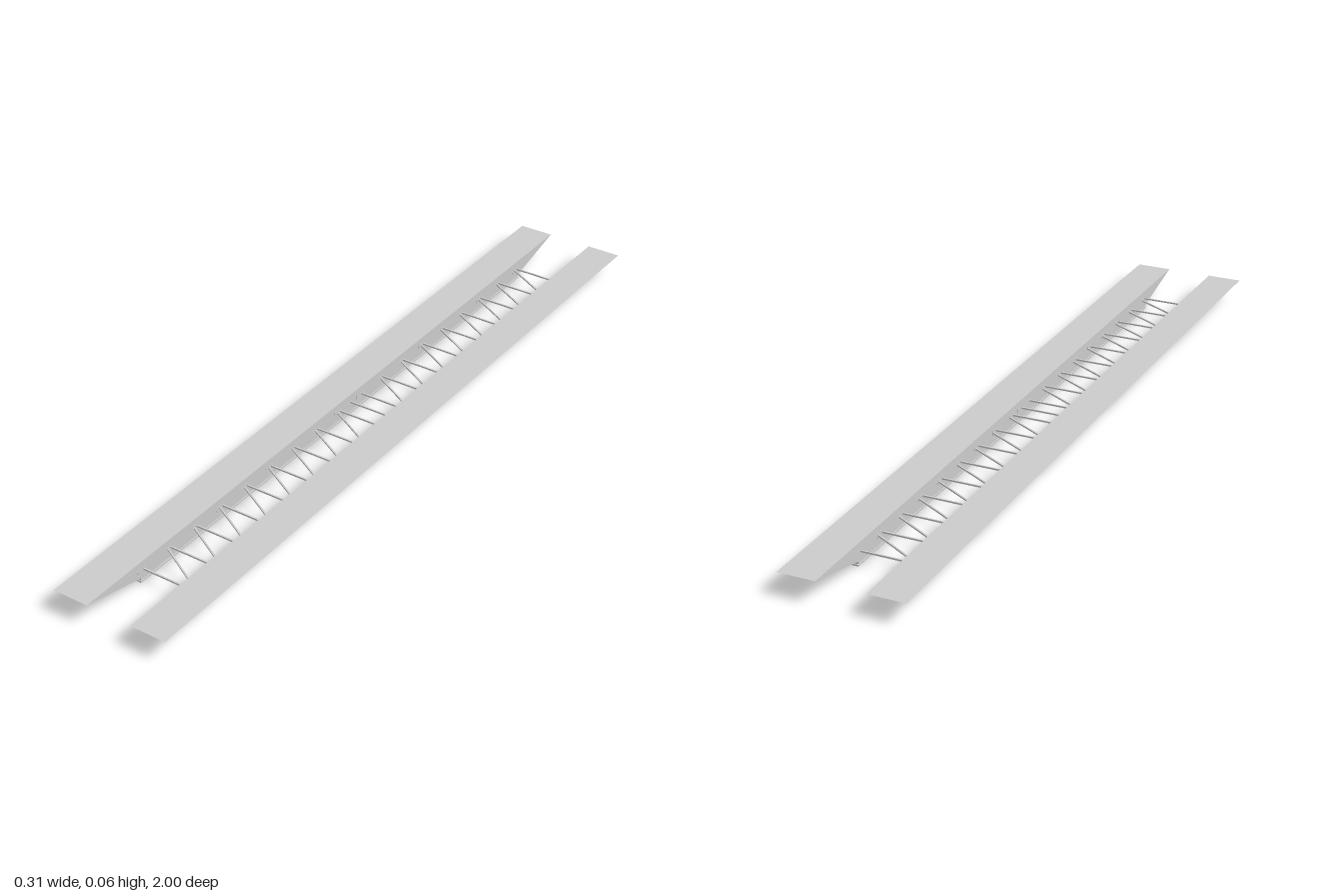
import * as THREE from 'three';
import { ConvexGeometry } from 'three/addons/geometries/ConvexGeometry.js';

const material = new THREE.MeshStandardMaterial({ color: 0xcccccc, flatShading: true });
const INNER = 0.061, BAR_Y = 0.033, BAR = 0.004;

function add(parent, name, geometry, x = 0, y = 0, z = 0) {
  const mesh = new THREE.Mesh(geometry, material);
  mesh.name = name;
  mesh.position.set(x, y, z);
  parent.add(mesh);
  return mesh;
}

// One long trough: vertical inner wall, sloped outer wall, raked ends, on an I-shaped rail
function makeSide(side) {
  const group = new THREE.Group();
  group.name = side > 0 ? 'leftBeam' : 'rightBeam';
  const corners = [];
  for (const end of [-1, 1]) {
    for (const [x, y, z] of [[INNER, 0.056, 1], [0.155, 0.056, 1], [INNER, 0.012, 0.82], [0.092, 0.012, 0.82]]) {
      corners.push(new THREE.Vector3(side * x, y, end * z));
    }
  }
  add(group, 'beamBody', new ConvexGeometry(corners));
  const x = side * 0.077;
  add(group, 'railTopFlange', new THREE.BoxGeometry(0.032, 0.004, 1.645), x, 0.010, 0);
  add(group, 'railWeb', new THREE.BoxGeometry(0.026, 0.005, 1.64), x, 0.0055, 0);
  add(group, 'railBottomFlange', new THREE.BoxGeometry(0.032, 0.004, 1.645), x, 0.002, 0);
  return group;
}

export function createModel() {
  const model = new THREE.Group();
  model.add(makeSide(1), makeSide(-1));

  // Cross bars: nine in each half plus one in the middle
  const bracing = new THREE.Group();
  bracing.name = 'bracing';
  model.add(bracing);
  const step = 0.0953;
  const stations = [0];
  for (let i = 0; i < 9; i++) stations.push(0.048 + i * step, -0.048 - i * step);

  const barGeometry = new THREE.BoxGeometry(INNER * 2, BAR, BAR);
  const plateGeometry = new THREE.BoxGeometry(0.001, 0.012, 0.03);
  const run = 0.068;
  const diagonalGeometry = new THREE.BoxGeometry(Math.hypot(INNER * 2, run), BAR, BAR);

  for (const z of stations) {
    add(bracing, 'crossBar', barGeometry, 0, BAR_Y, z);
    // Thin plates where the bars meet the inner walls
    add(bracing, 'endPlate', plateGeometry, INNER, BAR_Y, z - 0.008);
    add(bracing, 'endPlate', plateGeometry, -INNER, BAR_Y, z + 0.008);
    // Diagonals fill every full bay and skip the two short middle ones
    const shortBay = z === 0 || Math.abs(z + 0.048) < 0.01;
    if (!shortBay && z < 0.8) {
      const diagonal = add(bracing, 'diagonalBrace', diagonalGeometry, 0, BAR_Y, z + 0.01 + run / 2);
      diagonal.rotation.y = -Math.atan2(run, INNER * 2);
    }
  }
  return model;
}
